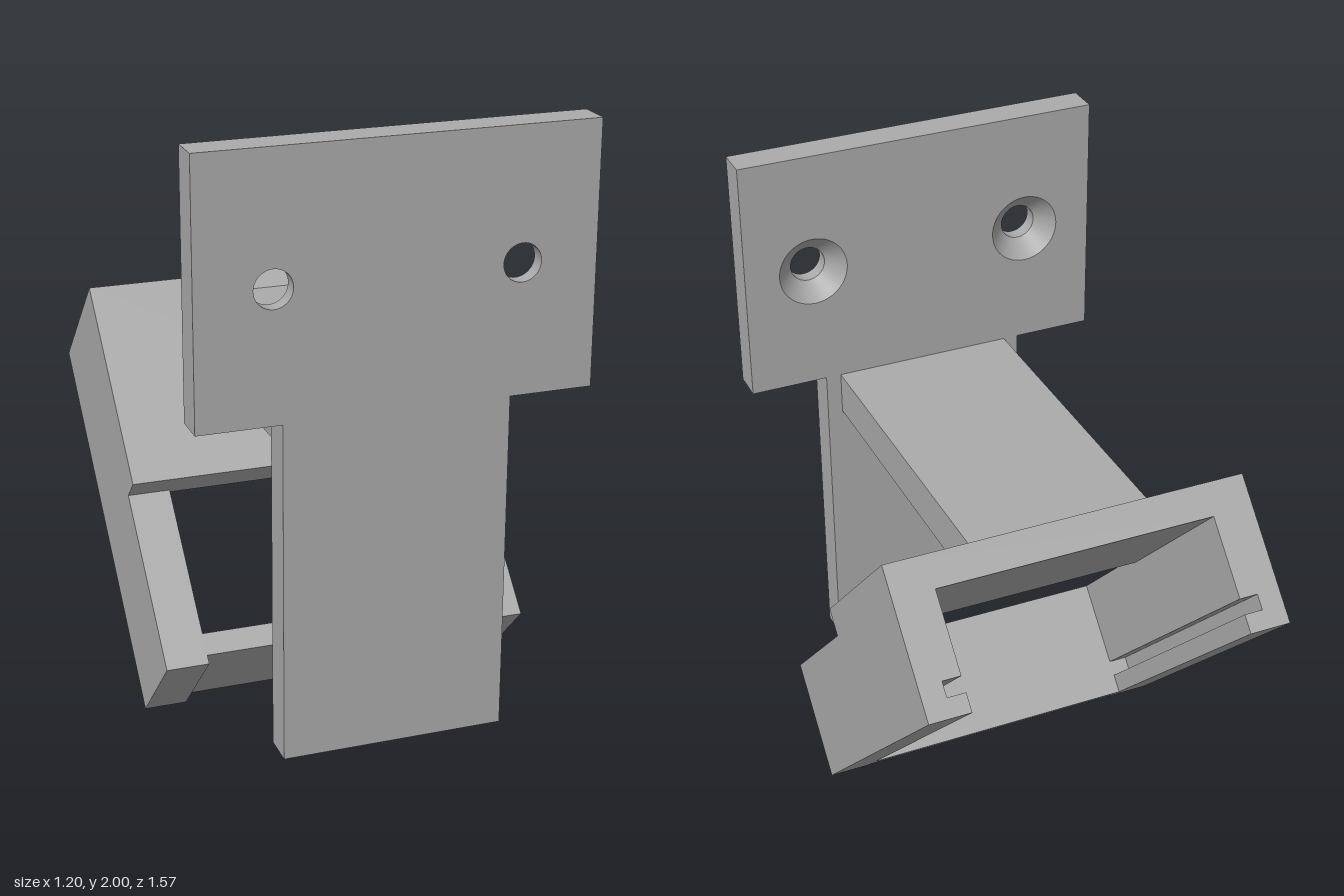
import * as THREE from 'three';

const grey = new THREE.MeshStandardMaterial({ color: 0xaaaaaa });
grey.name = 'grey plastic';

const polygon = (pts) => new THREE.Shape(pts.map(([x, y]) => new THREE.Vector2(x, y)));

// Extrudes a shape from z0 to z1
function prism(shape, z0, z1) {
  const g = new THREE.ExtrudeGeometry(shape, { depth: z1 - z0, bevelEnabled: false, curveSegments: 24 });
  return g.translate(0, 0, z0);
}

function add(parent, name, geometry) {
  const mesh = new THREE.Mesh(geometry, grey);
  mesh.name = name;
  parent.add(mesh);
  return mesh;
}

const HOLE_X = 0.37, HOLE_Y = 1.6, HOLE_R = 0.058, SINK_R = 0.115;
const PLATE_BACK = 0.68, SINK_END = 0.737, PLATE_FRONT = 0.785;

// T-shaped wall plate with two round holes
function plateShape(radius) {
  const s = polygon([[-0.345, 0.14], [0.345, 0.14], [0.345, 1.2], [0.6, 1.2],
    [0.6, 2], [-0.6, 2], [-0.6, 1.2], [-0.345, 1.2]]);
  for (const side of [-1, 1]) {
    const hole = new THREE.Path();
    hole.absarc(side * HOLE_X, HOLE_Y, radius, 0, Math.PI * 2, true);
    s.holes.push(hole);
  }
  return s;
}

function makePlate() {
  const plate = new THREE.Group();
  plate.name = 'wallPlate';
  add(plate, 'plateFront', prism(plateShape(HOLE_R), SINK_END, PLATE_FRONT));
  add(plate, 'plateBack', prism(plateShape(SINK_R), PLATE_BACK, SINK_END));
  // Countersinks open towards the back
  for (const side of [-1, 1]) {
    const cone = new THREE.LatheGeometry(
      [new THREE.Vector2(HOLE_R, SINK_END), new THREE.Vector2(SINK_R, PLATE_BACK)], 48);
    cone.rotateX(Math.PI / 2);
    add(plate, 'countersink', cone).position.set(side * HOLE_X, HOLE_Y, 0);
  }
  return plate;
}

// Arm with a T section: side profiles are given as (z, y)
function makeArm() {
  const arm = new THREE.Group();
  arm.name = 'arm';
  const bar = (name, halfWidth, pts) =>
    add(arm, name, prism(polygon(pts), -halfWidth, halfWidth).rotateY(-Math.PI / 2));
  bar('armFlange', 0.295, [[-0.26, 1.06], [0.68, 1.06], [0.68, 1.2], [-0.4, 1.2]]);
  bar('armWeb', 0.108, [[0, 0.8], [0.68, 0.8], [0.68, 1.06], [-0.26, 1.06]]);
  return arm;
}

// Tilted holder: local y is depth, local -z runs up along its length
function makeHolder() {
  const holder = new THREE.Group();
  holder.name = 'holder';
  holder.rotation.x = Math.PI / 4;
  const W = 0.59, I = 0.455, G = 0.515; // outer, inner and groove half widths
  const BACK = 0.088, LOW = 0.477, HIGH = 0.566;
  const along = (name, shape, u0, u1) => add(holder, name, prism(shape, -u1, -u0));

  // Right half of the grooved inner edge, from back to front
  const groove = [[I, BACK], [I, 0.149], [G, 0.149], [G, 0.198], [I, 0.198]];
  const mirror = (pts) => pts.map(([x, y]) => [-x, y]).reverse();

  // Upper half: U-shaped channel
  const half = [[W, HIGH], [W, BACK], ...groove, [I, 0.46]];
  along('upperChannel', polygon([...half, ...mirror(half)]), 0.502, 1.197);

  // Lower half: two side rails with solid feet
  const rail = [[W, LOW], [W, BACK], ...groove, [I, LOW]];
  const foot = [[W, LOW], [W, BACK], [I, BACK], [I, LOW]];
  for (const flip of [mirror, (p) => p]) {
    along('sideRail', polygon(flip(rail)), 0.018, 0.502);
    along('railFoot', polygon(flip(foot)), -0.081, 0.018);
  }
  // Cross wall closing the lower end
  along('endWall', polygon([[-I, BACK], [I, BACK], [I, LOW], [-I, LOW]]), -0.053, 0.018);
  return holder;
}

export function createModel() {
  const model = new THREE.Group();
  model.name = 'wallBracket';
  model.add(makePlate(), makeArm(), makeHolder());
  return model;
}
